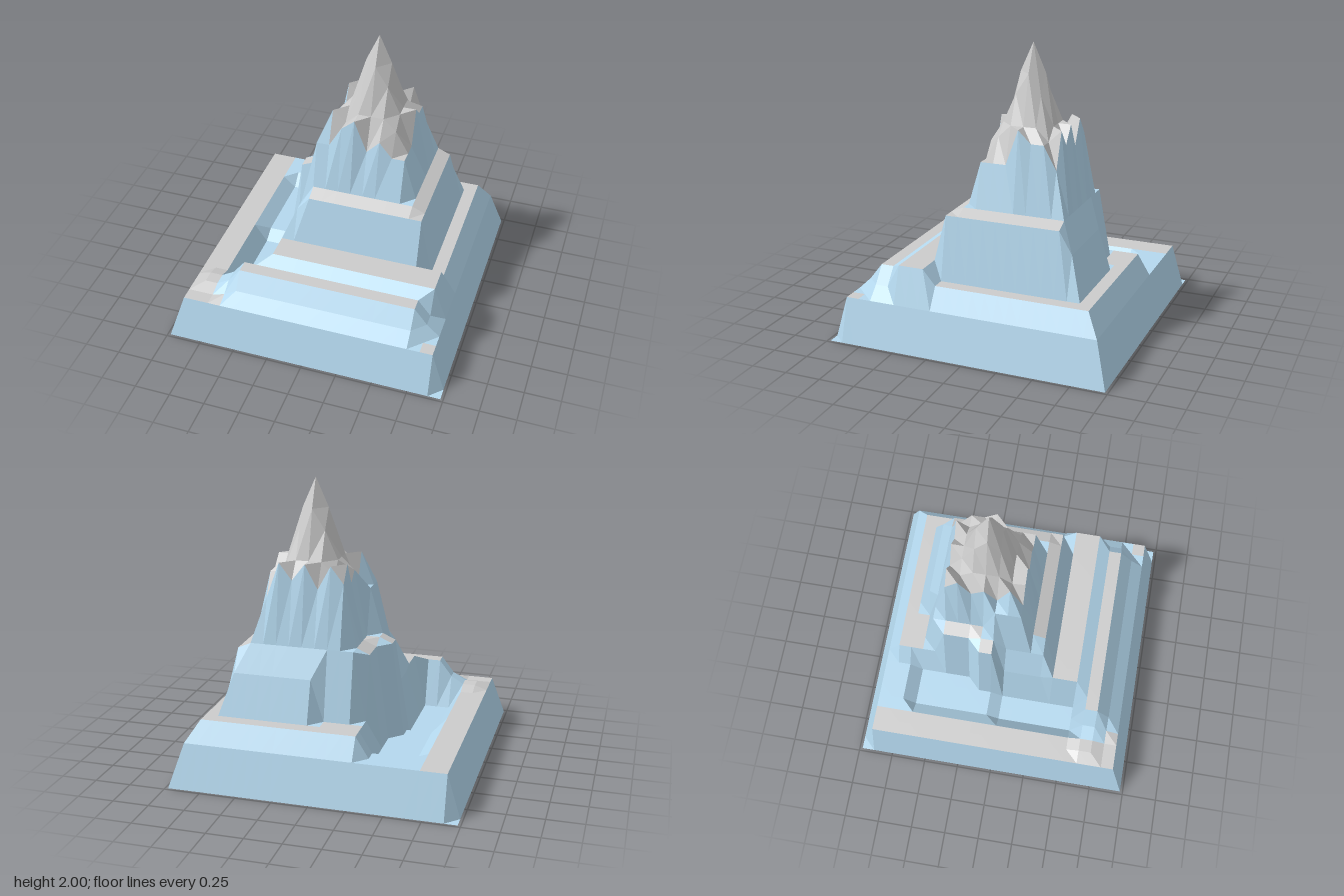
import * as THREE from 'three';

const N = 11;            // grid runs from -N to N in both directions
const S = 0.98 / N;      // cell size

// Terraces painted in order: x0, x1, z0, z1, height (grid units)
function paintTerraces(set) {
  const fill = (x0, x1, z0, z1, h) => {
    for (let x = x0; x <= x1; x++) for (let z = z0; z <= z1; z++) set(x, z, h);
  };
  // base and lower terraces
  fill(-10, 10, -10, 10, 0.3);
  fill(-3, 9, -9, 3, 0.445);
  fill(-6, 8, 9, 9, 0.385);
  fill(9, 9, 7, 8, 0.385);
  fill(-6, 8, 7, 8, 0.5);
  fill(-4, 9, 4, 6, 0.55);
  // front left corner
  fill(-9, -8, 7, 8, 0.33);
  fill(-7, -7, 7, 8, 0.385);
  fill(-7, -7, 9, 9, 0.33);
  // sunken channel
  fill(-7, -4, -7, -1, 0.22);
  fill(-7, -5, 0, 6, 0.165);
  // middle terrace
  fill(-4, -4, 0, 3, 0.52);
  fill(-3, -3, 0, 3, 0.77);
  fill(8, 8, 3, 3, 0.445);
  fill(-1, 0, -7, -7, 0.445);
  fill(1, 7, -7, -7, 0.73);
  fill(-2, 7, -6, 3, 0.88);
  fill(-3, -2, -5, -2, 0.88);
  fill(-2, 6, -6, 2, 0.92);
  // side spur
  fill(-4, -4, -2, -1, 0.88);
  fill(-3, -3, -2, -1, 0.92);
  fill(-2, -2, -1, 1, 1.235);
  // summit: ragged shoulder, then square rings up to the point
  fill(-1, 5, -5, 1, 1.235);
  [1.235, 1.39, 1.465, 1.235, 1.33, 1.22, 1.22].forEach((h, i) => set(i - 1, 1, h));
  [1.22, 1.38, 1.38, 1.465, 1.22, 1.22].forEach((h, i) => set(5, i - 5, h));
  [1.35, 1.465, 1.3, 1.465, 1.35, 1.465].forEach((h, i) => set(i - 1, -5, h));
  [1.465, 1.3, 1.38, 1.25, 1.465].forEach((h, i) => set(-1, i - 4, h));
  fill(0, 4, -4, 0, 1.38);
  fill(1, 3, -4, 0, 1.465);
  fill(0, 4, -3, -1, 1.465);
  fill(1, 3, -3, -1, 1.66);
  fill(2, 2, -3, -1, 1.8);
  fill(1, 3, -2, -2, 1.8);
  set(2, -2, 2);
}

function createModel() {
  const heights = new Map();
  const key = (x, z) => x * 100 + z;
  paintTerraces((x, z, h) => heights.set(key(x, z), h));
  const height = (x, z) => heights.get(key(x, z)) ?? 0;
  const point = (x, z) => [x * S, height(x, z), z * S];

  // Sort the cells into pale ledges and summit, and blue slopes and channel
  const ledges = [], slopes = [];
  for (let x = -N; x < N; x++) {
    for (let z = -N; z < N; z++) {
      const hs = [height(x, z), height(x + 1, z), height(x, z + 1), height(x + 1, z + 1)];
      const flat = Math.max(...hs) - Math.min(...hs) < 0.045;
      const summit = x >= -1 && x < 5 && z >= -5 && z < 1;
      const channel = x >= -8 && x < -3 && (z < -8 || Math.max(...hs) < 0.25);
      const target = summit || (flat && !channel) ? ledges : slopes;
      const a = point(x, z), b = point(x, z + 1), c = point(x + 1, z), d = point(x + 1, z + 1);
      target.push(...a, ...b, ...c, ...c, ...b, ...d);
    }
  }

  const group = new THREE.Group();
  group.name = 'mountain';
  const addSurface = (name, positions, color) => {
    const geometry = new THREE.BufferGeometry();
    geometry.setAttribute('position', new THREE.Float32BufferAttribute(positions, 3));
    geometry.computeVertexNormals();
    const material = new THREE.MeshStandardMaterial({ color, flatShading: true, side: THREE.DoubleSide });
    const mesh = new THREE.Mesh(geometry, material);
    mesh.name = name;
    group.add(mesh);
  };
  addSurface('ledgesAndSummit', ledges, 0xcccccc);
  addSurface('slopesAndChannel', slopes, 0xb4d8ee);
  return group;
}

export { createModel };
